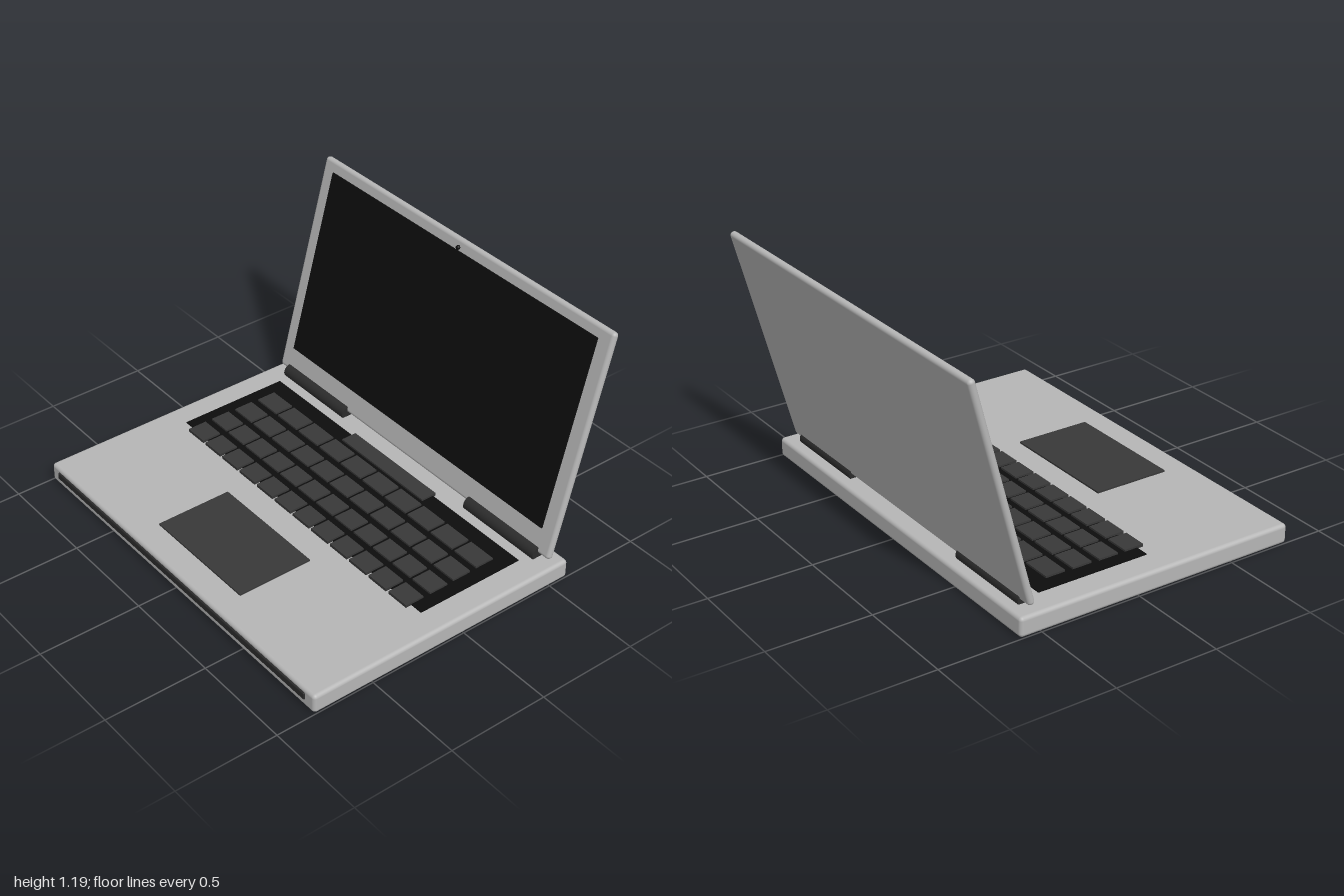
import * as THREE from 'three';
import { RoundedBoxGeometry } from 'three/addons/geometries/RoundedBoxGeometry.js';

const material = (name, color) => {
  const m = new THREE.MeshStandardMaterial({ color });
  m.name = name;
  return m;
};

export function createModel() {
  const silver = material('silver casing', 0xb6b6b6);
  const keyGrey = material('dark grey plastic', 0x383838);
  const trimGrey = material('charcoal trim', 0x2c2c2c);
  const black = material('black glass', 0x0d0d0d);

  const model = new THREE.Group();
  model.name = 'laptop';

  const add = (parent, name, geometry, mat, x, y, z) => {
    const mesh = new THREE.Mesh(geometry, mat);
    mesh.name = name;
    mesh.position.set(x, y, z);
    parent.add(mesh);
    return mesh;
  };
  const box = (w, h, d) => new THREE.BoxGeometry(w, h, d);

  // Base with softened edges
  const baseTop = 0.095;
  add(model, 'base', new RoundedBoxGeometry(2, baseTop, 1.415, 4, 0.018), silver, 0, baseTop / 2, 0.1025);
  add(model, 'frontStrip', new RoundedBoxGeometry(1.88, 0.036, 0.02, 2, 0.006), trimGrey, 0, 0.058, 0.808);
  add(model, 'trackpad', box(0.616, 0.012, 0.38), keyGrey, 0, 0.097, 0.486);

  // Keyboard: a black bed, four rows of keys and a wide strip behind them
  const keyboard = new THREE.Group();
  keyboard.name = 'keyboard';
  model.add(keyboard);
  add(keyboard, 'keyboardBed', box(1.74, 0.012, 0.56), black, 0, 0.095, -0.147);
  const rows = [
    { count: 10, pitch: 0.1617, width: 0.144 },
    { count: 11, pitch: 0.1476, width: 0.13 },
    { count: 12, pitch: 0.136, width: 0.118 },
    { count: 12, pitch: 0.136, width: 0.118 },
  ];
  rows.forEach(({ count, pitch, width }, r) => {
    const key = box(width, 0.014, 0.098);
    for (let i = 0; i < count; i++) {
      add(keyboard, 'key', key, keyGrey, (i - (count - 1) / 2) * pitch, 0.103, -0.29 + r * 0.135);
    }
  });
  add(keyboard, 'functionStrip', box(0.586, 0.014, 0.08), keyGrey, 0, 0.103, -0.402);

  // Hinge barrels, one each side
  const barrel = new THREE.CylinderGeometry(0.037, 0.037, 0.462, 20);
  for (const side of [-1, 1]) {
    add(model, side > 0 ? 'leftHinge' : 'rightHinge', barrel, trimGrey, side * 0.672, 0.111, -0.516)
      .rotation.z = Math.PI / 2;
  }

  // Lid leaning back, with screen and camera on its front face
  const lid = new THREE.Group();
  lid.name = 'lid';
  lid.position.set(0, 0.652, -0.667);
  lid.rotation.x = -Math.PI / 12;
  model.add(lid);
  add(lid, 'lidShell', new RoundedBoxGeometry(1.94, 1.112, 0.035, 4, 0.017), silver, 0, 0, 0);
  add(lid, 'screen', box(1.784, 0.932, 0.009), black, 0, 0.034, 0.0215);
  add(lid, 'camera', new THREE.SphereGeometry(0.011, 16, 12), black, 0, 0.514, 0.021);

  return model;
}
